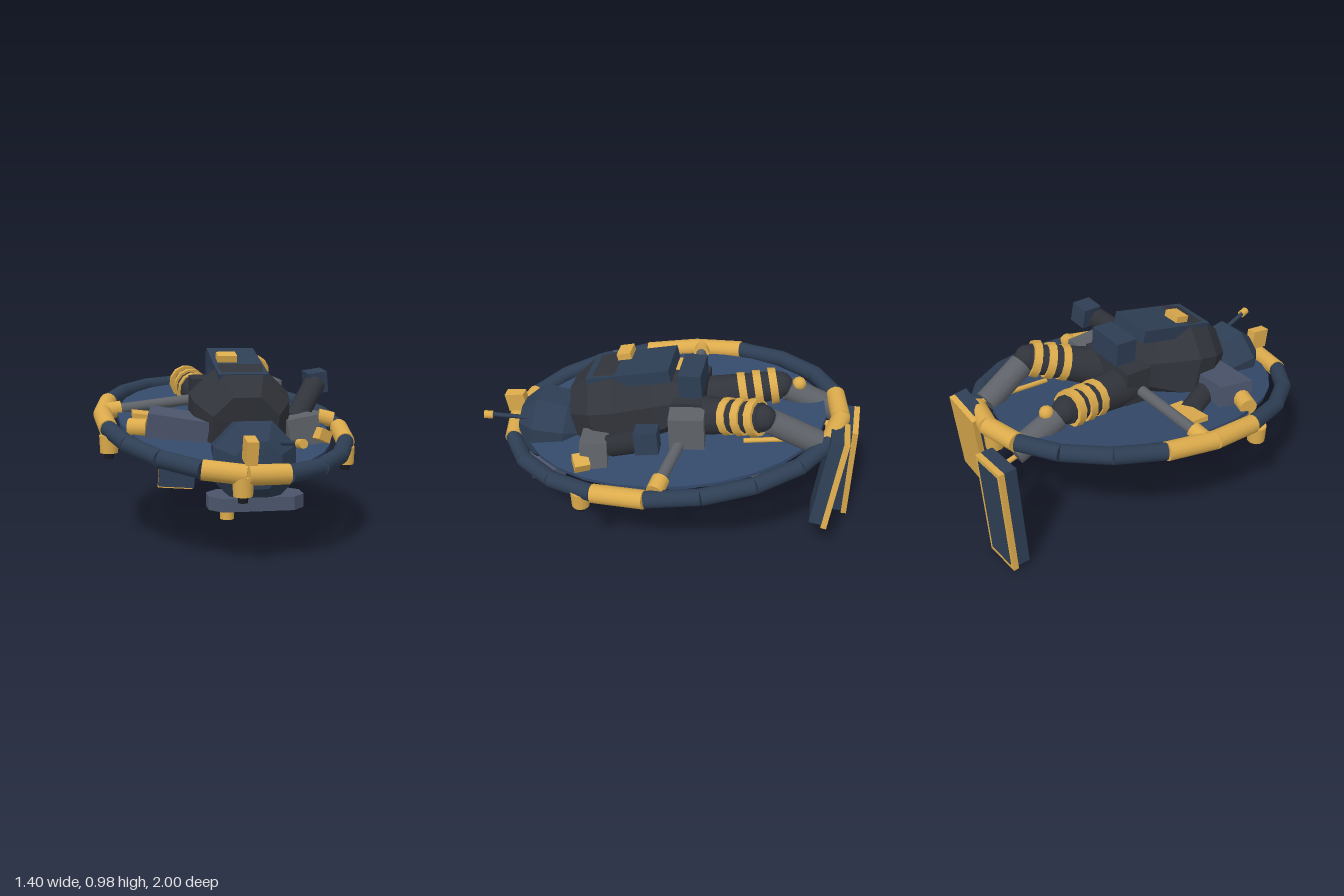
import * as THREE from 'three';

const mat = (color) => new THREE.MeshStandardMaterial({ color });
const NAVY = mat(0x2e3e54), GOLD = mat(0xdcab4c), DARK = mat(0x31343b), SLATE = mat(0x4b546b);
const GREY = mat(0x5e6268), BLUE = mat(0x344a6b), BLACK = mat(0x181a20);
const V = (p) => new THREE.Vector3(...p);

export function createModel() {
  const model = new THREE.Group();

  const add = (name, geo, material, pos = [0, 0, 0], rot = [0, 0, 0], parent = model) => {
    const m = new THREE.Mesh(geo, material);
    m.name = name;
    m.position.set(...pos);
    m.rotation.set(...rot);
    parent.add(m);
    return m;
  };
  const box = (name, size, material, pos, rot, parent) =>
    add(name, new THREE.BoxGeometry(...size), material, pos, rot, parent);
  // cylinder running between two points
  const rod = (name, a, b, r, material, parent = model, r2 = r, sides = 12) => {
    const p = V(a), q = V(b), d = q.clone().sub(p);
    const mid = p.clone().add(q).multiplyScalar(0.5).toArray();
    const m = add(name, new THREE.CylinderGeometry(r2, r, d.length(), sides), material, mid, [0, 0, 0], parent);
    m.quaternion.setFromUnitVectors(new THREE.Vector3(0, 1, 0), d.normalize());
  };
  // faceted eight-sided body of revolution along z, flat side up
  const hull = (name, profile, material, pos, tilt) => {
    const lathe = new THREE.LatheGeometry(profile.map(([r, z]) => new THREE.Vector2(r, z)), 8, Math.PI / 8);
    const g = lathe.rotateX(Math.PI / 2).toNonIndexed();
    g.computeVertexNormals();
    add(name, g, material, pos, [tilt, 0, 0]);
  };

  // tilted oval platform
  const platform = new THREE.Group();
  platform.name = 'platform';
  platform.position.set(0, 0.58, 0);
  platform.rotation.set(0.145, -0.03, -0.07);
  model.add(platform);
  add('disc', new THREE.CylinderGeometry(1, 1, 0.02, 28), BLUE, [0, 0, 0], [0, 0, 0], platform).scale.set(0.575, 1, 0.83);

  // segmented ring with gold sleeves
  const onRing = (a) => [0.655 * Math.sin(a), 0, 0.905 * Math.cos(a)];
  const sleeves = [0, 19, 4, 9, 10, 14, 15];
  for (let i = 0; i < 20; i++) {
    const a = (i * Math.PI) / 10, b = ((i + 1) * Math.PI) / 10;
    const gold = sleeves.includes(i);
    rod(gold ? 'ringSleeve' : 'ringSegment', onRing(a), onRing(b), gold ? 0.049 : 0.044, gold ? GOLD : NAVY, platform, undefined, 14);
  }

  // thrusters hanging under the ring
  for (const [x, y, z] of [[-0.63, 0.515, 0.3], [0.59, 0.435, 0.36], [-0.045, 0.395, 0.89], [0.03, 0.62, -0.87]]) {
    add('thruster', new THREE.CylinderGeometry(0.05, 0.046, 0.09, 14), GOLD, [x, y, z]);
    add('thrusterNozzle', new THREE.CylinderGeometry(0.024, 0.024, 0.04, 10), BLACK, [x, y - 0.055, z]);
  }

  // bent pipes under the disc
  for (const s of [-1, 1]) {
    for (const z of [-0.42, -0.12, 0.18, 0.46]) {
      const pts = [[0.16, -0.03, z + 0.1], [0.28, -0.045, z + 0.08], [0.38, -0.05, z - 0.02], [0.42, -0.04, z - 0.12]];
      for (let i = 0; i < 3; i++) {
        const [p, q] = [pts[i], pts[i + 1]].map(([x, y, w]) => [s * x, y, w]);
        rod('pipe', p, q, 0.012, GOLD, platform, 0.012, 6);
      }
    }
  }
  rod('bellyPipe', [-0.06, 0.385, 0.24], [0.14, 0.375, 0.24], 0.015, GOLD);
  rod('rightFinStrut', [-0.05, 0.6, -0.48], [-0.12, 0.57, -0.91], 0.013, GOLD);
  rod('leftFinStrut', [0.25, 0.66, -0.42], [0.22, 0.72, -0.85], 0.013, GOLD);
  box('underPod', [0.17, 0.07, 0.13], SLATE, [-0.03, 0.51, -0.34], [0.25, 0.2, 0]);

  // head, chin plate, headlamp and antenna
  hull('head', [[0, -0.17], [0.14, -0.16], [0.2, -0.09], [0.215, 0.08], [0.12, 0.18], [0, 0.19]], NAVY, [0.04, 0.47, 0.65], -0.05);
  const plate = new THREE.Shape();
  [[-0.23, -0.05], [-0.17, -0.115], [0.17, -0.115], [0.23, -0.05], [0.23, 0.05], [0.17, 0.115], [-0.17, 0.115], [-0.23, 0.05]]
    .forEach(([x, y], i) => (i ? plate.lineTo(x, y) : plate.moveTo(x, y)));
  add('chinPlate', new THREE.ExtrudeGeometry(plate, { depth: 0.065, bevelEnabled: false }), SLATE, [0.05, 0.318, 0.675], [Math.PI / 2, 0, 0]);
  rod('chinNozzle', [-0.09, 0.205, 0.71], [-0.09, 0.27, 0.71], 0.034, GOLD);
  box('headlamp', [0.055, 0.11, 0.11], GOLD, [-0.01, 0.56, 0.885], [0.15, 0, -0.04]);
  rod('antenna', [0.15, 0.57, 0.74], [0.2, 0.6, 0.96], 0.012, NAVY);
  rod('antennaTip', [0.2, 0.597, 0.95], [0.21, 0.602, 0.995], 0.022, GOLD);

  // torso and pack
  hull('torso', [[0, -0.4], [0.13, -0.38], [0.19, -0.2], [0.28, 0], [0.265, 0.13], [0.18, 0.26], [0, 0.27]], DARK, [0.04, 0.66, 0.24], 0.23);
  box('backPack', [0.255, 0.07, 0.45], NAVY, [0.04, 0.89, 0.2], [0.24, 0, 0]);
  box('packBadge', [0.1, 0.035, 0.075], GOLD, [-0.02, 0.945, 0.25], [0.24, 0, 0]);
  box('packBlock', [0.22, 0.13, 0.12], NAVY, [0.04, 0.88, -0.12], [0.08, 0, 0]);
  box('pelvis', [0.37, 0.27, 0.15], DARK, [0.02, 0.68, -0.12], [0.08, 0, 0]);
  box('hipBox', [0.12, 0.18, 0.18], GREY, [0.27, 0.71, -0.13], [0.05, 0.1, 0]);

  // legs: thigh with gold bands, bent knee, grey shin
  const legs = [
    { hip: [-0.06, 0.68, -0.12], knee: [-0.15, 0.76, -0.56], foot: [-0.15, 0.64, -0.86] },
    { hip: [0.12, 0.69, -0.12], knee: [0.27, 0.83, -0.51], foot: [0.23, 0.69, -0.79] },
  ];
  for (const { hip, knee, foot } of legs) {
    const at = (t) => V(hip).lerp(V(knee), t).toArray();
    rod('thigh', hip, knee, 0.11, DARK, model, 0.075);
    for (const t of [0.56, 0.74, 0.92]) rod('thighBand', at(t - 0.045), at(t + 0.045), 0.1, GOLD, model, 0.095);
    add('knee', new THREE.IcosahedronGeometry(0.07, 1), DARK, knee);
    rod('shin', V(knee).lerp(V(foot), 0.15).toArray(), foot, 0.065, GREY);
  }
  add('kneeBolt', new THREE.IcosahedronGeometry(0.038, 1), GOLD, [-0.14, 0.785, -0.66]);

  // left arm reaching up and back
  box('leftShoulderBox', [0.17, 0.15, 0.14], GREY, [0.35, 0.57, 0.34], [0, 0.15, 0.15]);
  rod('leftArm', [0.34, 0.6, 0.25], [0.5, 0.78, 0.05], 0.06, DARK);
  box('leftHand', [0.105, 0.115, 0.115], NAVY, [0.51, 0.795, 0.025], [0.1, 0.1, 0.12]);
  box('leftClamp', [0.08, 0.06, 0.08], GOLD, [0.45, 0.55, 0.39], [0, 0.5, -0.4]);

  // right arm with broad plate and tool
  box('rightShoulderBox', [0.31, 0.24, 0.2], SLATE, [-0.29, 0.55, 0.34], [0.1, -0.15, -0.14]);
  rod('rightArm', [-0.25, 0.57, 0.28], [-0.37, 0.6, 0.07], 0.06, DARK);
  box('rightTool', [0.21, 0.16, 0.1], GOLD, [-0.4, 0.555, 0.02], [0.1, 0, -0.12]);
  rod('rightClamp', [-0.53, 0.6, 0.33], [-0.44, 0.6, 0.36], 0.048, GOLD);

  // struts from the hips to the ring
  for (const [a, b, c] of [
    [[-0.17, 0.69, -0.1], [-0.55, 0.65, -0.065], [-0.63, 0.64, -0.06]],
    [[0.3, 0.64, -0.1], [0.55, 0.59, -0.05], [0.63, 0.57, -0.035]],
  ]) {
    rod('strut', a, b, 0.03, GREY);
    rod('strutSocket', b, c, 0.045, GOLD);
  }

  // rear fins: navy slab with gold backing
  const fin = (name, w, h, pos, rot) => {
    const g = new THREE.Group();
    g.name = name;
    g.position.set(...pos);
    g.rotation.set(...rot);
    model.add(g);
    box('finSlab', [w, h - 0.02, 0.066], NAVY, [0, 0.01, 0.016], [0, 0, 0], g);
    box('finBacking', [w, h, 0.03], GOLD, [0, 0, -0.032], [0, 0, 0], g);
    return g;
  };
  const low = fin('rightFin', 0.23, 0.6, [-0.14, 0.309, -0.95], [0, 0, -0.08]);
  box('finPanel', [0.185, 0.55, 0.006], NAVY, [0, 0, -0.046], [0, 0, 0], low);
  fin('leftFin', 0.225, 0.51, [0.235, 0.49, -0.87], [-0.13, 0, 0.14]);

  return model;
}
